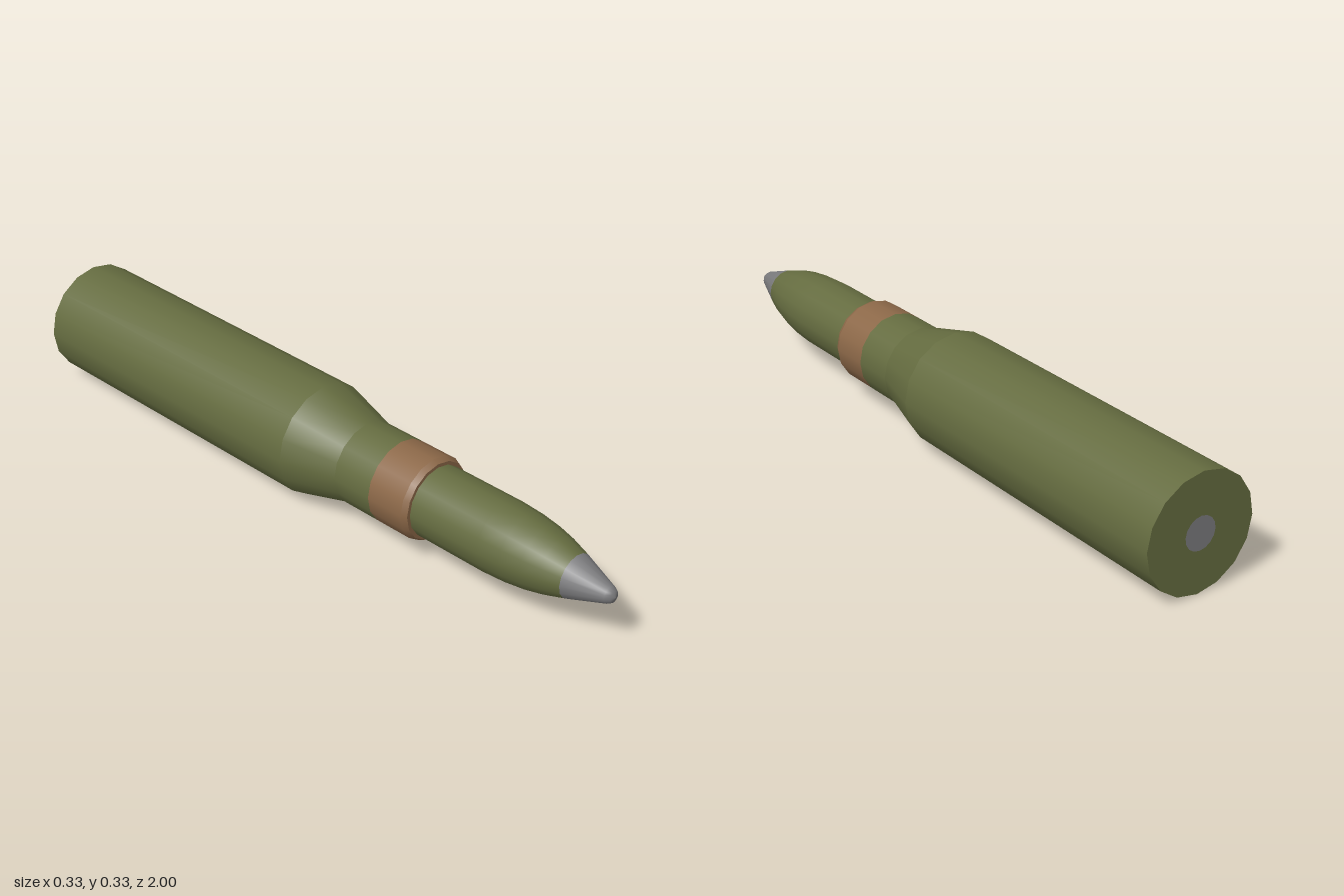
import * as THREE from 'three';

const SIDES = 16;
const AXIS_Y = 0.166;

function mat(name, color) {
  const m = new THREE.MeshStandardMaterial({ color });
  m.name = name;
  return m;
}

export function createModel() {
  const group = new THREE.Group();
  group.name = 'cartridge';
  const olive = mat('olive paint', 0x656c40);
  const copper = mat('copper', 0x8c6848);
  const steel = mat('grey steel', 0x7b7b7d);

  function add(name, geometry, material) {
    const mesh = new THREE.Mesh(geometry, material);
    mesh.name = name;
    mesh.position.y = AXIS_Y;
    group.add(mesh);
  }

  // Turned section along z from [radius, z] pairs listed back to front
  function turned(name, profile, material) {
    const points = profile.map(([r, z]) => new THREE.Vector2(r, z));
    add(name, new THREE.LatheGeometry(points, SIDES).rotateX(Math.PI / 2), material);
  }

  // Case: body, shoulder and neck, split to keep the edges between them sharp
  turned('caseBody', [[0.165, -1], [0.164, -0.01]], olive);
  turned('caseShoulder', [[0.164, -0.01], [0.12, 0.155]], olive);
  turned('caseNeck', [[0.12, 0.155], [0.12, 0.28]], olive);

  // Copper band with a chamfered front lip
  turned('band', [[0.12, 0.28], [0.12, 0.397]], copper);
  turned('bandChamfer', [[0.12, 0.397], [0.112, 0.413]], copper);
  turned('bandFace', [[0.112, 0.413], [0.102, 0.413]], copper);

  // Projectile with a curved nose
  turned('projectile', [
    [0.102, 0.41], [0.102, 0.64], [0.098, 0.71], [0.09, 0.77], [0.079, 0.82], [0.062, 0.875],
  ], olive);

  // Steel tip, blunt at the end
  turned('tipCone', [[0.062, 0.875], [0.024, 0.982], [0.016, 0.995], [0, 1]], steel);

  // Flat base with a primer disc in the middle
  const base = new THREE.RingGeometry(0.047, 0.165, SIDES).rotateY(Math.PI).translate(0, 0, -1);
  add('base', base, olive);
  const primer = new THREE.CircleGeometry(0.047, SIDES).rotateY(Math.PI).translate(0, 0, -1);
  add('primer', primer, steel);

  return group;
}
